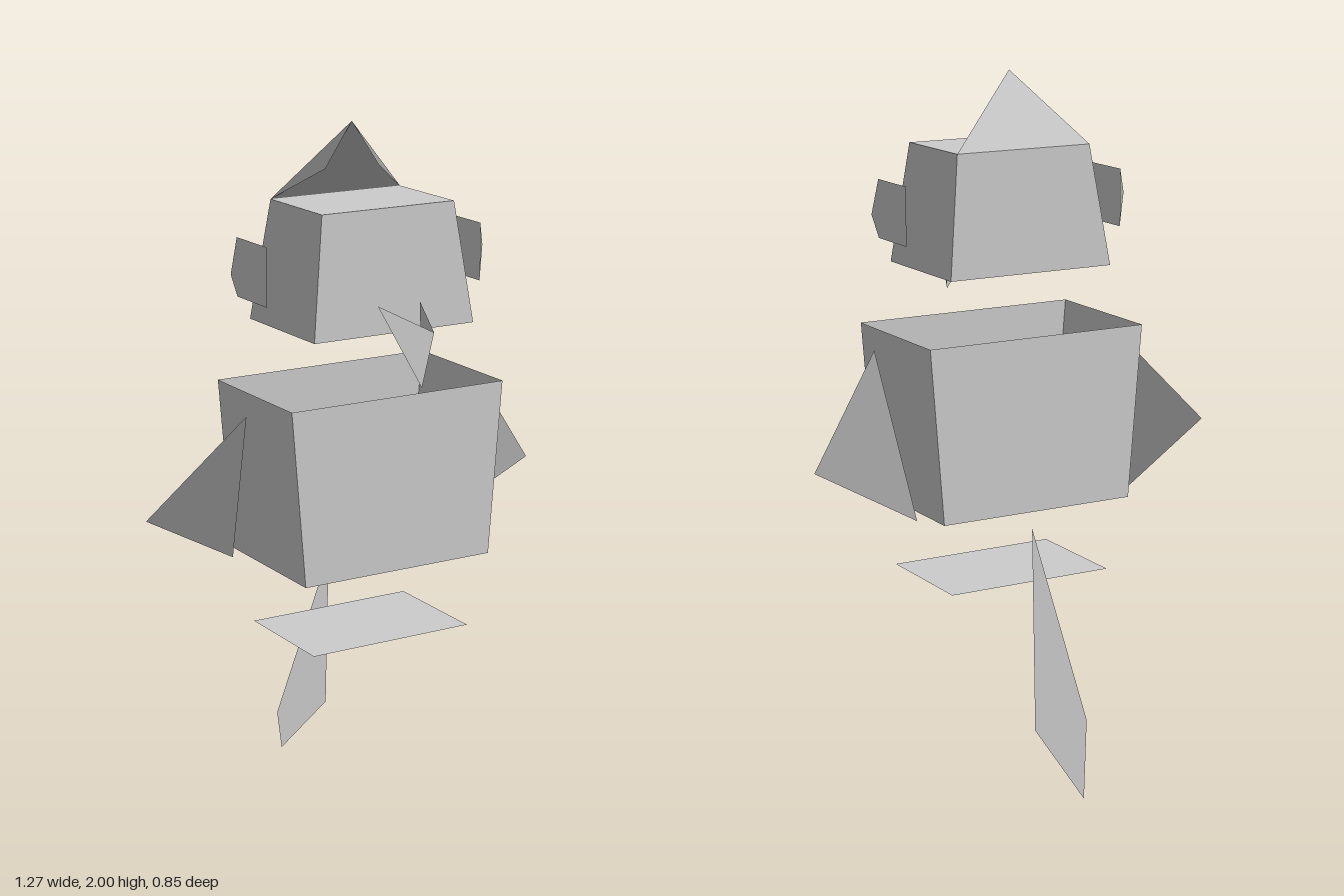
import * as THREE from 'three';

const grey = new THREE.MeshStandardMaterial({ color: 0xcccccc, side: THREE.DoubleSide });
grey.name = 'plain grey';

// Mesh of flat polygons; each is { pts, n, facing }: corners, shading normal, and the
// direction its front side looks (the normal unless given).
function panels(name, faces) {
  const pos = [], nor = [];
  for (const { pts, n, facing = n } of faces) {
    const v = pts.map((p) => new THREE.Vector3(...p));
    for (let i = 1; i < v.length - 1; i++) {
      let tri = [v[0], v[i], v[i + 1]];
      const g = tri[1].clone().sub(tri[0]).cross(tri[2].clone().sub(tri[0]));
      if (g.dot(new THREE.Vector3(...facing)) < 0) tri = [tri[0], tri[2], tri[1]];
      for (const p of tri) {
        pos.push(p.x, p.y, p.z);
        nor.push(...n);
      }
    }
  }
  const geo = new THREE.BufferGeometry();
  geo.setAttribute('position', new THREE.Float32BufferAttribute(pos, 3));
  geo.setAttribute('normal', new THREE.Float32BufferAttribute(nor, 3));
  const mesh = new THREE.Mesh(geo, grey);
  mesh.name = name;
  return mesh;
}

const flip = ([x, y, z]) => [-x, y, z];
const mirrored = ({ pts, n, facing }) =>
  ({ pts: pts.map(flip), n: flip(n), facing: facing && flip(facing) });
const both = (f) => [f, mirrored(f)];

// Corner ring of a level rectangle, from back right round to back left
const ring = (x, y, z0, z1) => [[-x, y, z0], [-x, y, z1], [x, y, z1], [x, y, z0]];

// Four walls joining two rings
function walls(lo, hi) {
  const normals = [[-1, 0, 0], [0, 0, 1], [1, 0, 0], [0, 0, -1]];
  return normals.map((n, i) => {
    const j = (i + 1) % 4;
    return { pts: [lo[i], lo[j], hi[j], hi[i]], n };
  });
}

export function createModel() {
  const model = new THREE.Group();
  model.name = 'bird';

  // Body: tapered, open above and below, with a loose base plate under it
  model.add(panels('body', walls(ring(0.3, 0.775, -0.165, 0.255), ring(0.34, 1.277, -0.165, 0.255))));
  model.add(panels('basePlate', [{ pts: ring(0.255, 0.555, -0.125, 0.22), n: [0, 1, 0] }]));

  // Head: open below
  const crown = ring(0.21, 1.79, -0.085, 0.195);
  model.add(panels('head', [
    ...walls(ring(0.255, 1.45, -0.128, 0.23), crown),
    { pts: crown, n: [0, 1, 0] },
  ]));

  // Crest: one sloping back face and two small cheeks
  const peak = [0, 2, 0], root = [0.21, 1.79, -0.085];
  model.add(panels('crest', [
    { pts: [peak, root, flip(root)], n: [0, 1, 0] },
    ...both({ pts: [peak, root, [0.085, 1.875, 0]], n: [1, 0, 0] }),
  ]));

  // Beak: two faces meeting in a front ridge
  model.add(panels('beak', both(
    { pts: [[0.067, 1.535, 0.248], [0, 1.49, 0.425], [0, 1.325, 0.367]], n: [0, 0, 1] })));

  // Tail: two faces meeting in a back ridge
  model.add(panels('tail', both(
    { pts: [[0, 0.715, -0.132], [0.085, 0.177, -0.297], [0, 0, -0.423]], n: [0, 0, -1] })));

  // Eyes: shallow pyramids pointing outward; wings: single triangles
  const eyeBase = [[0.343, 1.705, 0.128], [0.343, 1.705, -0.037], [0.343, 1.54, -0.037], [0.343, 1.54, 0.128]];
  const eye = eyeBase.map((p, i) => ({ pts: [p, eyeBase[(i + 1) % 4], [0.407, 1.623, 0.045]], n: [1, 0, 0] }));
  const wing = [{
    pts: [[0.385, 1.233, 0.083], [0.635, 0.94, -0.042], [0.343, 0.775, -0.085]],
    n: [1, 0, 0], facing: [0, 0, 1],
  }];
  for (const [part, faces] of [['Eye', eye], ['Wing', wing]]) {
    model.add(panels('left' + part, faces));
    model.add(panels('right' + part, faces.map(mirrored)));
  }
  return model;
}
